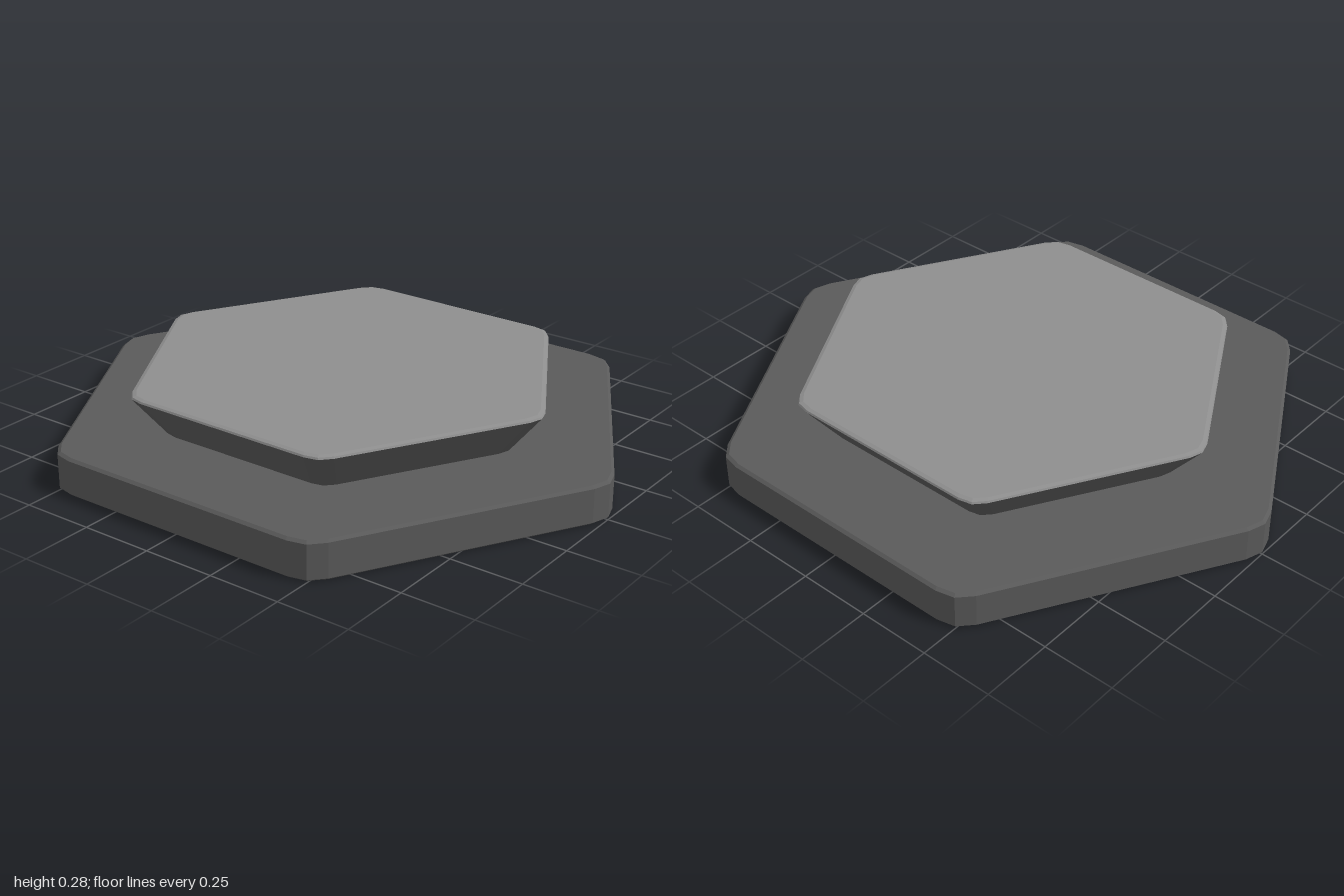
import * as THREE from 'three';

// Hexagon outline with softened corners (three points each), scaled by its apothem
function hexRing(apothem, y) {
  const points = [];
  const side = new THREE.Vector3();
  const radius = apothem / Math.cos(Math.PI / 6);
  const cut = apothem * 0.08;
  for (let k = 0; k < 6; k++) {
    const a = k * Math.PI / 3;
    const corner = new THREE.Vector3(Math.sin(a) * radius, y, Math.cos(a) * radius);
    for (const turn of [-1, 1]) {
      const b = a + turn * Math.PI * 2 / 3;
      side.set(Math.sin(b), 0, Math.cos(b));
      points.push(corner.clone().addScaledVector(side, cut));
      if (turn < 0) points.push(new THREE.Vector3(Math.sin(a) * radius * 0.984, y, Math.cos(a) * radius * 0.984));
    }
  }
  return points;
}

// Stack of hexagon rings from [apothem, y] pairs, closed at the ends on request
function hexSolid(profile, capBottom, capTop) {
  const rings = profile.map(([a, y]) => hexRing(a, y));
  const n = rings[0].length;
  const out = [];
  const tri = (...pts) => pts.forEach(p => out.push(p.x, p.y, p.z));
  const first = rings[0], last = rings[rings.length - 1];
  const low = new THREE.Vector3(0, profile[0][1], 0);
  const high = new THREE.Vector3(0, profile[profile.length - 1][1], 0);
  for (let i = 0; i < n; i++) {
    const j = (i + 1) % n;
    for (let r = 0; r < rings.length - 1; r++) {
      const lower = rings[r], upper = rings[r + 1];
      tri(lower[i], lower[j], upper[j]);
      tri(lower[i], upper[j], upper[i]);
    }
    if (capBottom) tri(low, first[j], first[i]);
    if (capTop) tri(high, last[i], last[j]);
  }
  const geometry = new THREE.BufferGeometry();
  geometry.setAttribute('position', new THREE.Float32BufferAttribute(out, 3));
  geometry.computeVertexNormals();
  return geometry;
}

export function createModel() {
  const group = new THREE.Group();
  const darkGrey = new THREE.MeshStandardMaterial({ color: 0x5a5a5a });
  darkGrey.name = 'dark grey';
  const lightGrey = new THREE.MeshStandardMaterial({ color: 0x8e8e8e });
  lightGrey.name = 'light grey';

  const add = (name, geometry, material) => {
    const mesh = new THREE.Mesh(geometry, material);
    mesh.name = name;
    group.add(mesh);
  };

  // Wide base slab with a fine bevel
  add('base', hexSolid([[0.87, 0], [0.88, 0.008], [0.88, 0.124], [0.87, 0.132]], true, true), darkGrey);
  // Flared pedestal, wider at the top
  add('pedestal', hexSolid([[0.557, 0.13], [0.66, 0.272]], false, false), darkGrey);
  // Pale top plate with a bevelled rim
  add('topPlate', hexSolid([[0.66, 0.272], [0.657, 0.278], [0.645, 0.282]], false, true), lightGrey);

  return group;
}
